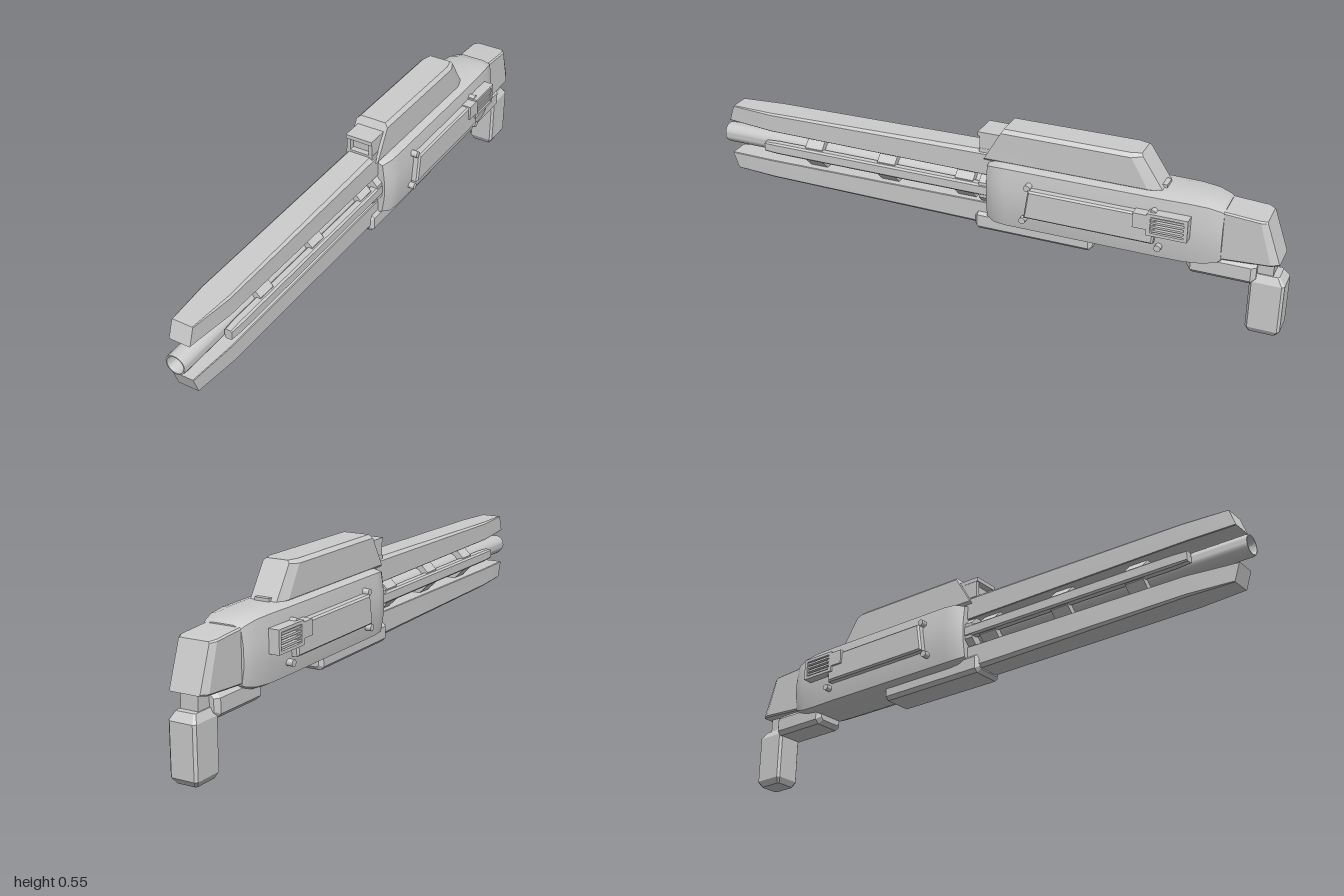
import * as THREE from 'three';
import { toCreasedNormals } from 'three/addons/utils/BufferGeometryUtils.js';

const AXIS_Y = 0.326; // height of the barrel axis

// Joins rings of points, listed from front (+z) to back, into a closed solid.
function loft(rings, crease = 0.3) {
  const pos = [];
  const tri = (...pts) => pts.forEach(p => pos.push(...p));
  const centre = r => [0, 1, 2].map(k => r.reduce((s, p) => s + p[k], 0) / r.length);
  const n = rings[0].length, last = rings[rings.length - 1];
  const c0 = centre(rings[0]), c1 = centre(last);
  for (let j = 0; j < n; j++) {
    const k = (j + 1) % n;
    tri(c0, rings[0][j], rings[0][k]);
    tri(c1, last[k], last[j]);
    for (let i = 0; i < rings.length - 1; i++) {
      const a = rings[i], b = rings[i + 1];
      tri(a[j], b[j], a[k]);
      tri(a[k], b[j], b[k]);
    }
  }
  const g = new THREE.BufferGeometry();
  g.setAttribute('position', new THREE.Float32BufferAttribute(pos, 3));
  return toCreasedNormals(g, crease);
}

// Mirrors a right-hand half outline into a full ring, slanting z from bottom to top.
function ring(half, zBottom, zTop = zBottom) {
  const y0 = half[0][1], y1 = half[half.length - 1][1];
  const full = [...half, ...half.map(([x, y]) => [-x, y]).reverse()];
  return full.map(([x, y]) => [x, y, zBottom + (zTop - zBottom) * (y - y0) / (y1 - y0)]);
}

// Rectangle ring with separate bottom and top chamfers.
function rect(zB, zT, w, y0, y1, cb = 0.01, ct = cb) {
  return ring([[w - cb, y0], [w, y0 + cb], [w, y1 - ct], [w - ct, y1]], zB, zT);
}

// Block with all edges chamfered, front at z0 and back at z1.
function block(w, y0, y1, z0, z1, c) {
  return loft([
    rect(z0, z0, w - c, y0 + c, y1 - c, c * 0.6),
    rect(z0 - c, z0 - c, w, y0, y1, c),
    rect(z1 + c, z1 + c, w, y0, y1, c),
    rect(z1, z1, w - c, y0 + c, y1 - c, c * 0.6),
  ]);
}

export function createModel() {
  const model = new THREE.Group();
  const grey = new THREE.MeshStandardMaterial({ color: 0xcccccc });
  grey.name = 'grey metal';

  function add(name, geometry, x = 0, y = 0, z = 0) {
    const mesh = new THREE.Mesh(geometry, grey);
    mesh.name = name;
    mesh.position.set(x, y, z);
    model.add(mesh);
  }
  const box = (name, w, h, d, x, y, z) => add(name, new THREE.BoxGeometry(w, h, d), x, y, z);

  // Main body, swelling out from narrower ends
  const bodyHalf = [[0.05, 0.21], [0.084, 0.226], [0.095, 0.29], [0.095, 0.36], [0.085, 0.43], [0.05, 0.44]];
  const bodySections = [
    [-0.02, 0.78, 0.90], [-0.05, 0.96, 0.98], [-0.09, 1, 1], [-0.60, 1, 1],
    [-0.69, 0.97, 1], [-0.75, 0.90, 0.96], [-0.79, 0.80, 0.86], [-0.80, 0.74, 0.80],
  ];
  add('body', loft(bodySections.map(([z, sx, sy]) =>
    ring(bodyHalf.map(([x, y]) => [x * sx, AXIS_Y + (y - AXIS_Y) * sy]), z)), 0.5));

  // Slanted rear stock
  add('stock', loft([
    rect(-0.76, -0.76, 0.062, 0.245, 0.416, 0.005),
    rect(-0.955, -0.91, 0.064, 0.258, 0.406, 0.005),
    rect(-0.98, -0.93, 0.052, 0.262, 0.403, 0.004),
  ]));

  // Rear grip and the neck joining it to the stock
  const gripRing = (y, w, z0, z1, c) =>
    [[w, z0 - c], [w, z1 + c], [w - c, z1], [c - w, z1], [-w, z1 + c], [-w, z0 - c], [c - w, z0], [w - c, z0]]
      .map(([x, z]) => [x, y, z]);
  add('grip', loft([
    gripRing(0.21, 0.034, -0.905, -0.98, 0.005),
    gripRing(0.185, 0.047, -0.89, -1.0, 0.008),
    gripRing(0.02, 0.047, -0.89, -1.0, 0.008),
    gripRing(0, 0.035, -0.90, -0.985, 0.005),
  ]));
  box('gripNeck', 0.06, 0.08, 0.06, 0, 0.235, -0.93);

  // Plates under the body
  add('frontUnderPlate', block(0.06, 0.175, 0.24, 0.03, -0.38, 0.012));
  add('rearUnderPlate', loft([
    rect(-0.69, -0.69, 0.045, 0.19, 0.25, 0.01),
    rect(-0.705, -0.705, 0.058, 0.176, 0.25, 0.014),
    rect(-0.895, -0.895, 0.058, 0.176, 0.25, 0.014),
    rect(-0.91, -0.91, 0.045, 0.188, 0.245, 0.01),
  ]));

  // Raised top housing with sloping ends
  add('topHousing', loft([
    rect(0, -0.07, 0.058, 0.43, 0.55, 0.01, 0.012),
    rect(-0.56, -0.49, 0.06, 0.43, 0.55, 0.01, 0.012),
    rect(-0.605, -0.525, 0.046, 0.43, 0.55, 0.006, 0.008),
  ]));
  box('rearCatch', 0.05, 0.012, 0.02, 0, 0.444, -0.597);

  // Sight frame with an open front
  box('sightTop', 0.096, 0.014, 0.09, 0, 0.518, -0.025);
  box('sightBase', 0.096, 0.014, 0.08, 0, 0.462, -0.025);
  box('sightBack', 0.09, 0.06, 0.04, 0, 0.49, -0.025);
  for (const s of [-1, 1]) box('sightSide', 0.013, 0.05, 0.08, s * 0.0405, 0.49, -0.025);

  // Upper and lower rails, mirrored about the barrel axis
  const railRings = [
    [0.973, 0.953, 0.036, 0.388, 0.446, 0.002], [0.80, 0.80, 0.05, 0.382, 0.449, 0.006],
    [-0.04, -0.04, 0.05, 0.376, 0.462, 0.012],
  ].map(([zB, zT, w, y0, y1, c]) => rect(zB, zT, w, y0, y1, 0.002, c));
  add('upperRail', loft(railRings));
  add('lowerRail', loft(railRings.map(r => r.map(([x, y, z]) => [x, 2 * AXIS_Y - y, z]).reverse())));

  // Hollow barrel
  const barrel = new THREE.LatheGeometry([
    [0.035, -0.05], [0.035, 0.99], [0.033, 1.0], [0.029, 1.0], [0.026, 0.99], [0.026, 0.88],
  ].map(([r, h]) => new THREE.Vector2(r, h)), 32).rotateX(Math.PI / 2);
  add('barrel', toCreasedNormals(barrel, 0.5), 0, AXIS_Y, 0);
  add('barrelPlug', new THREE.CircleGeometry(0.026, 32), 0, AXIS_Y, 0.88);

  // Octagonal collars along the barrel
  for (const [z, d, r] of [[0.63, 0.065, 0.06], [0.353, 0.065, 0.06], [0.067, 0.065, 0.06], [-0.01, 0.04, 0.07]]) {
    const collar = new THREE.CylinderGeometry(r, r, d, 8, 1, false, Math.PI / 8).rotateX(Math.PI / 2);
    add('barrelCollar', toCreasedNormals(collar, 0.3), 0, AXIS_Y, z);
  }

  // Bevelled panel outline, extruded along x and centred on its thickness
  const panelShape = new THREE.Shape([[0.172, 0.29], [0.59, 0.29], [0.60, 0.378], [0.185, 0.378]]
    .map(p => new THREE.Vector2(...p)));
  const panel = new THREE.ExtrudeGeometry(panelShape, {
    depth: 0.024, bevelEnabled: true, bevelThickness: 0.006, bevelSize: 0.006, bevelSegments: 1,
  }).translate(0, 0, -0.012).rotateY(Math.PI / 2);
  const bolt = toCreasedNormals(
    new THREE.CylinderGeometry(0.011, 0.011, 0.04, 14).rotateZ(Math.PI / 2), 0.6);

  // Rods beside the barrel
  const rod = loft([
    rect(0.82, 0.82, 0.013, 0.309, 0.343, 0.004), rect(0.77, 0.77, 0.016, 0.306, 0.346, 0.006),
    rect(-0.03, -0.03, 0.016, 0.306, 0.346, 0.006),
  ]);

  for (const s of [-1, 1]) {
    add('sideRod', rod, s * 0.051);

    // Side panels and bolts
    add('sidePanel', panel, s * 0.1);
    for (const [y, z] of [[0.389, -0.175], [0.27, -0.16], [0.27, -0.61], [0.389, -0.59]])
      add('panelBolt', bolt, s * 0.092, y, z);

    // Vent: a frame around horizontal louvres
    const x = s * 0.107;
    box('ventMount', 0.036, 0.05, 0.05, x, 0.362, -0.555);
    box('ventTop', 0.036, 0.01, 0.13, x, 0.388, -0.64);
    box('ventBottom', 0.036, 0.01, 0.13, x, 0.323, -0.64);
    for (const z of [-0.581, -0.699]) box('ventEnd', 0.036, 0.056, 0.012, x, 0.356, z);
    box('ventBack', 0.02, 0.056, 0.106, s * 0.1, 0.356, -0.64);
    for (let i = 0; i < 4; i++) box('ventLouvre', 0.03, 0.007, 0.106, x, 0.335 + i * 0.0138, -0.64);
  }
  return model;
}
